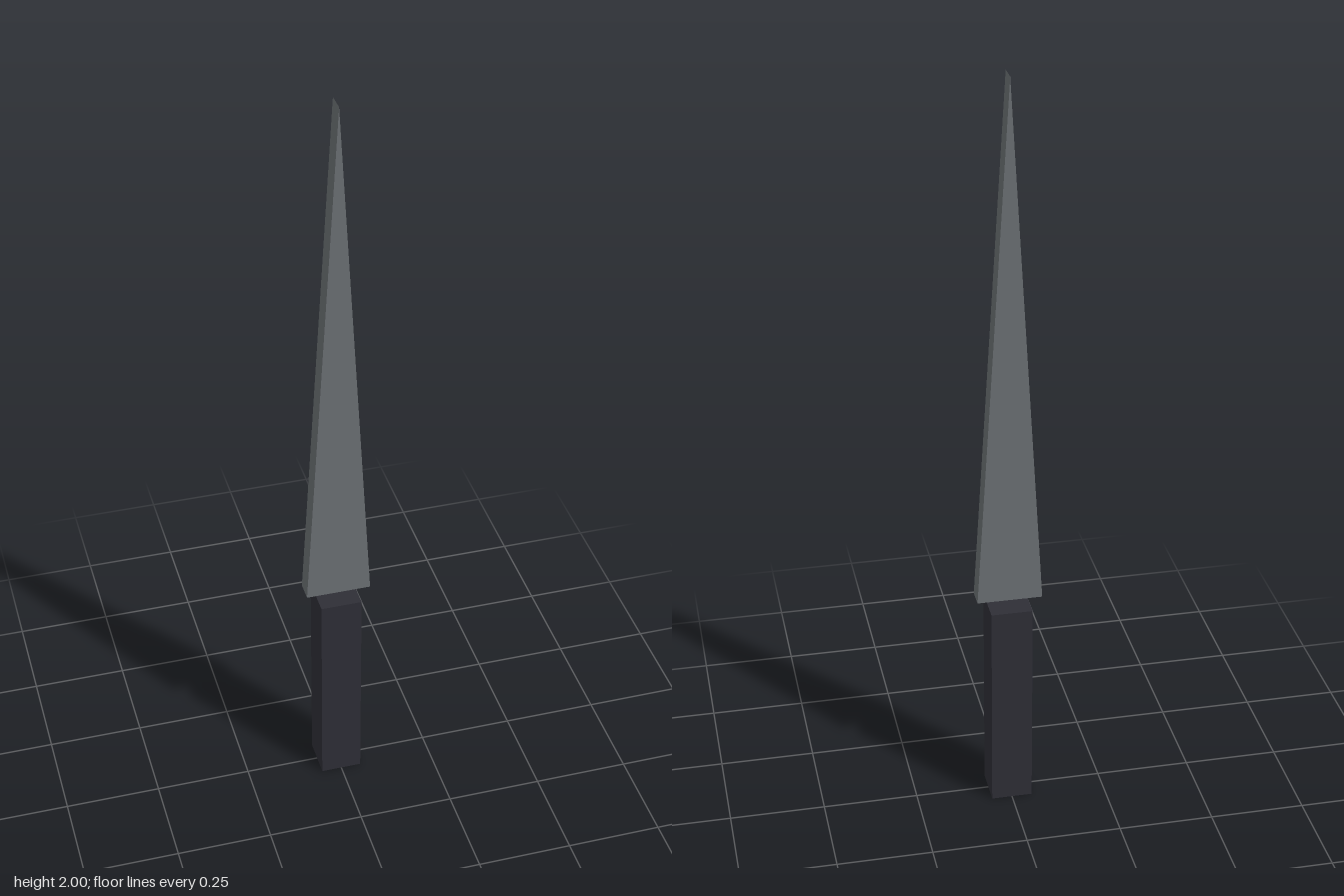
import * as THREE from 'three';

export function createModel() {
  const model = new THREE.Group();
  const steel = new THREE.MeshStandardMaterial({ color: 0x6b7073 });
  steel.name = 'greySteel';
  const grip = new THREE.MeshStandardMaterial({ color: 0x2e2e36 });
  grip.name = 'darkGrip';

  // Square handle
  const handleHeight = 0.577;
  const handle = new THREE.Mesh(new THREE.BoxGeometry(0.108, handleHeight, 0.108), grip);
  handle.name = 'handle';
  handle.position.y = handleHeight / 2;

  // Tapered triangular blade, floating just above the handle
  const bladeBase = 0.6, halfWidth = 0.085, thickness = 0.052;
  const outline = new THREE.Shape([
    new THREE.Vector2(-halfWidth, bladeBase),
    new THREE.Vector2(halfWidth, bladeBase),
    new THREE.Vector2(0, 2),
  ]);
  const bladeGeometry = new THREE.ExtrudeGeometry(outline, { depth: thickness, bevelEnabled: false });
  bladeGeometry.translate(0, 0, -thickness / 2);
  const blade = new THREE.Mesh(bladeGeometry, steel);
  blade.name = 'blade';

  model.add(handle, blade);
  return model;
}
